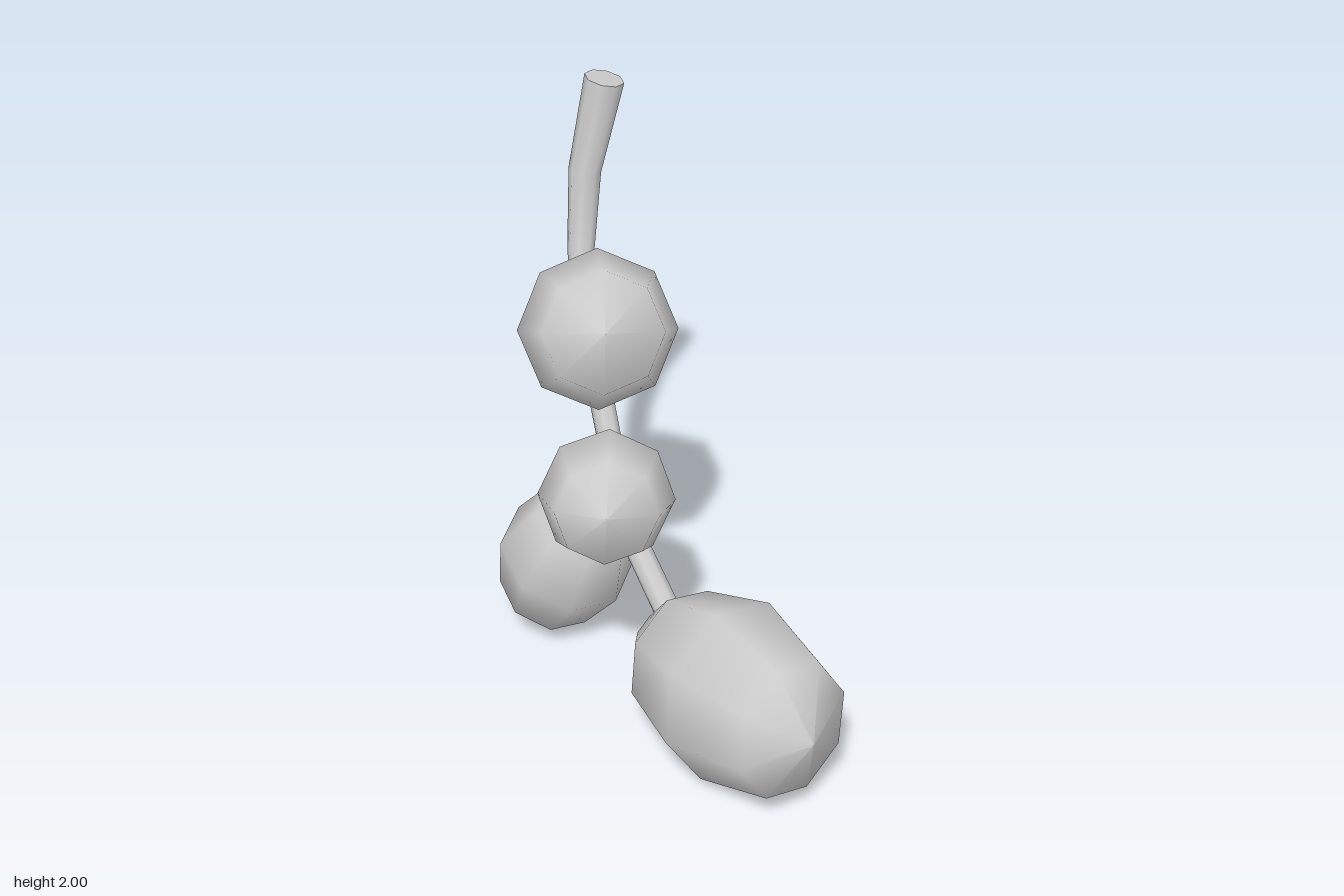
import * as THREE from 'three';

const material = new THREE.MeshStandardMaterial({ color: 0xcccccc });
const SIDES = 8;
const V = (x, y, z) => new THREE.Vector3(x, y, z);

// Plump low-poly fruit growing from its stalk end to its far tip;
// shoulder is the share of the widest radius near the stalk, depth flattens it sideways
function fruit(name, start, end, radius, turn, shoulder, depth = 1) {
  const axis = end.clone().sub(start);
  const profile = [[0, 0], [0.02, 0.28], [0.2, shoulder], [0.53, 1], [0.88, 0.75], [1, 0]];
  const points = profile.map(([t, r]) => new THREE.Vector2(r * radius, t * axis.length()));
  const geometry = new THREE.LatheGeometry(points, SIDES);
  geometry.rotateY(turn).scale(1, 1, depth);
  const mesh = new THREE.Mesh(geometry, material);
  mesh.name = name;
  mesh.position.copy(start);
  mesh.quaternion.setFromUnitVectors(V(0, 1, 0), axis.normalize());
  return mesh;
}

// Curved eight-sided stem, thicker at the top, closed at both ends
function stem() {
  const group = new THREE.Group();
  group.name = 'stem';
  const curve = new THREE.CatmullRomCurve3([
    V(-0.75, 1.99, -0.34), V(-0.78, 1.66, -0.275), V(-0.735, 1.39, -0.22),
    V(-0.65, 1.17, -0.175), V(-0.37, 0.72, -0.09), V(-0.22, 0.52, -0.06), V(0.01, 0.34, -0.04),
  ]);
  // One ring at each bend
  curve.getUtoTmapping = (u) => u;
  const radii = [0.068, 0.056, 0.047, 0.044, 0.042, 0.045, 0.046];
  const segments = radii.length - 1;
  const tube = new THREE.TubeGeometry(curve, segments, 1, SIDES);
  const pos = tube.attributes.position;
  const p = new THREE.Vector3();
  radii.forEach((radius, i) => {
    const centre = curve.getPointAt(i / segments);
    for (let j = 0; j <= SIDES; j++) {
      const k = i * (SIDES + 1) + j;
      p.fromBufferAttribute(pos, k).sub(centre).multiplyScalar(radius).add(centre);
      pos.setXYZ(k, p.x, p.y, p.z);
    }
  });
  const body = new THREE.Mesh(tube, material);
  body.name = 'stemBody';
  group.add(body);

  // End caps reuse the first and last rings
  for (const [name, ring, u] of [['stemTopCap', 0, 0], ['stemTipCap', segments, 1]]) {
    const cap = new THREE.CircleGeometry(1, SIDES);
    const c = curve.getPointAt(u);
    cap.attributes.position.setXYZ(0, c.x, c.y, c.z);
    for (let j = 0; j <= SIDES; j++) {
      p.fromBufferAttribute(pos, ring * (SIDES + 1) + (u ? SIDES - j : j));
      cap.attributes.position.setXYZ(j + 1, p.x, p.y, p.z);
    }
    cap.computeVertexNormals();
    const mesh = new THREE.Mesh(cap, material);
    mesh.name = name;
    group.add(mesh);
  }
  return group;
}

export function createModel() {
  const model = new THREE.Group();
  model.name = 'fruitSprig';
  model.add(
    stem(),
    fruit('upperFruit', V(-0.605, 1.175, -0.16), V(-0.065, 1.515, 0.165), 0.265, 0.2, 0.61),
    fruit('middleFruit', V(-0.355, 0.75, -0.04), V(0.12, 0.965, 0.305), 0.228, 0.1, 0.64),
    fruit('lowerFruit', V(-0.365, 0.643, 0), V(-0.625, 0.085, 0.06), 0.245, 0.2, 0.74),
    fruit('endFruit', V(-0.02, 0.277, 0.02), V(0.84, 0.37, 0.025), 0.33, 0.2, 0.75, 0.9),
  );
  return model;
}
